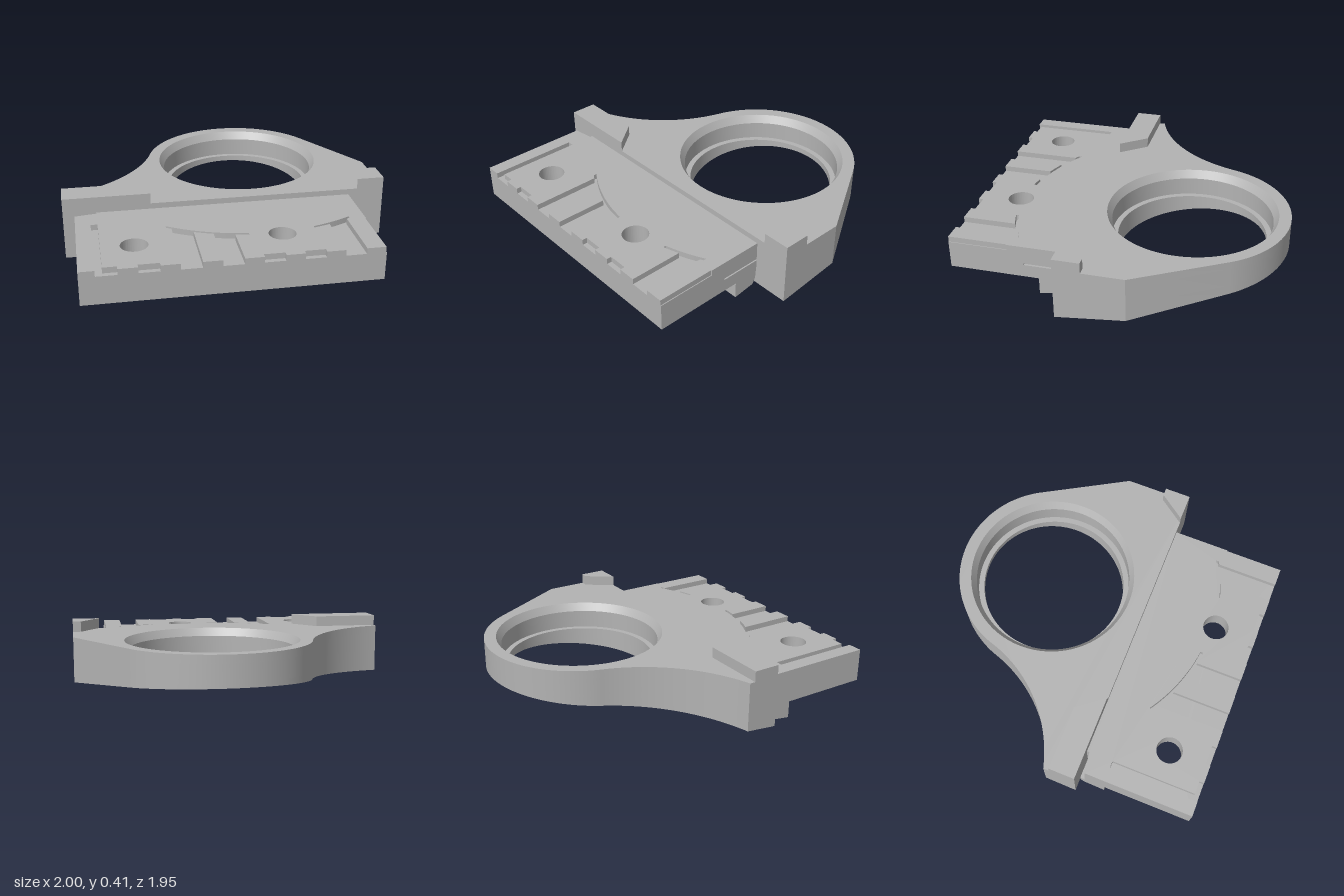
import * as THREE from 'three';
import { toCreasedNormals } from 'three/addons/utils/BufferGeometryUtils.js';

const CX = 0.18, CZ = -0.38; // ring centre in plan
const FRONT = 0.975, STEP = 0.255;

const polygon = (pts) => new THREE.Shape(pts.map(([x, z]) => new THREE.Vector2(x, z)));

function withHole(shape, x, z, r) {
  const hole = new THREE.Path();
  hole.absarc(x, z, r, 0, Math.PI * 2, true);
  shape.holes.push(hole);
  return shape;
}

// Extrudes a plan shape (x, z) between two heights; rule may move its vertices.
function slab(shape, bottom, top, rule) {
  const geo = new THREE.ExtrudeGeometry(shape, { depth: top - bottom, bevelEnabled: false, curveSegments: 72 });
  geo.rotateX(Math.PI / 2).translate(0, top, 0);
  if (rule) {
    const p = geo.attributes.position, v = new THREE.Vector3();
    for (let i = 0; i < p.count; i++) {
      rule(v.fromBufferAttribute(p, i));
      p.setXYZ(i, v.x, v.y, v.z);
    }
  }
  return toCreasedNormals(geo, 0.4);
}

// Points on a circle about the ring centre, on its front side, from x0 to x1.
function arc(r, x0, x1, n = 12) {
  return Array.from({ length: n + 1 }, (_, i) => {
    const x = x0 + (x1 - x0) * i / n;
    return [x, CZ + Math.sqrt(r * r - (x - CX) ** 2)];
  });
}

const notch = (a, b) => [[a, FRONT], [a, 0.945], [b, 0.945], [b, FRONT]];

// Plan of the rear bracket: concave flank, round head, straight tangent flank.
function bracketShape(holeRadius) {
  const s = new THREE.Shape();
  const a = Math.atan2(-0.17, -0.576), n = [Math.cos(a), Math.sin(a)];
  const tx = CX + 0.6 * n[0], tz = CZ + 0.6 * n[1];
  const vx = -1 - tx, vz = 0.055 - tz;
  const R = (vx * vx + vz * vz) / (2 * (vx * n[0] + vz * n[1]));
  const ox = tx + R * n[0], oz = tz + R * n[1];
  s.moveTo(1, STEP);
  s.lineTo(-1, STEP);
  s.lineTo(-1, 0.055);
  s.absarc(ox, oz, R, Math.atan2(0.055 - oz, -1 - ox), Math.atan2(tz - oz, tx - ox), true);
  s.absarc(CX, CZ, 0.6, a, Math.atan2(-0.3, 0.52), false);
  s.lineTo(1, -0.165);
  s.closePath();
  return withHole(s, CX, CZ, holeRadius);
}

// Plan of the front plate with its two screw holes; inset cuts the side slot.
function plateShape(holeRadius, inset = 0) {
  const s = polygon([
    [0.775 - inset, STEP], [0.775 - inset, 0.51], [0.775, 0.51], [0.775, FRONT],
    [-0.93, FRONT], [-0.93, 0.29], [-0.8, 0.27], [-0.8, STEP],
  ]);
  for (const x of [-0.61, 0.24]) withHole(s, x, 0.715, holeRadius);
  return s;
}

export function createModel() {
  const model = new THREE.Group();
  const grey = new THREE.MeshStandardMaterial({ color: 0xb3b3b3 });
  grey.name = 'plainGrey';
  const add = (name, geo) => {
    const mesh = new THREE.Mesh(geo, grey);
    mesh.name = name;
    model.add(mesh);
  };

  // Rear bracket: chamfered mouth, bore, then a narrower lip with sloping underside
  add('bracketMouth', slab(bracketShape(0.525), 0.295, 0.345, (v) => {
    const dx = v.x - CX, dz = v.z - CZ, r = Math.hypot(dx, dz);
    if (v.y < 0.3 && r < 0.53) {
      v.x = CX + dx * 0.495 / r;
      v.z = CZ + dz * 0.495 / r;
    }
  }));
  add('bracketBore', slab(bracketShape(0.495), 0.18, 0.295));
  add('bracketLip', slab(bracketShape(0.46), 0.02, 0.18, (v) => {
    if (v.y < 0.1) v.y = 0.02 + (STEP - v.z) * 0.1134;
  }));

  // Raised tabs on both ends of the step
  add('rightTab', slab(polygon([[-1, 0.09], [-0.6, 0.09], [-0.47, STEP], [-1, STEP]]), 0.345, 0.41));
  add('leftTab', slab(polygon([[0.95, 0.09], [1, 0.09], [1, STEP], [0.83, STEP]]), 0.345, 0.41));

  // Front plate: counterbored base, thin side slot, core
  add('plateBase', slab(plateShape(0.145), 0.105, 0.185));
  add('plateSlotLayer', slab(plateShape(0.08, 0.04), 0.185, 0.195));
  add('plateCore', slab(plateShape(0.08), 0.195, 0.275));

  // Grooved top surface of the plate
  const top = polygon([
    [0.775, STEP], [0.775, 0.61], [0.77, 0.61], [0.77, FRONT],
    [0.66, FRONT], ...arc(1.085, 0.66, 0.68, 2), ...arc(1.068, 0.68, 0.44),
    ...arc(1.085, 0.44, 0.54), [0.54, FRONT],
    ...notch(0.43, 0.31), ...notch(0.2, 0.08),
    [-0.03, FRONT], ...arc(1.085, -0.03, 0.05, 4), ...arc(1.068, 0.05, -0.41, 24),
    ...arc(1.085, -0.41, -0.38, 2), [-0.38, FRONT],
    ...notch(-0.49, -0.61),
    [-0.72, FRONT], [-0.72, 0.945], [-0.8, 0.945], [-0.8, 0.42], [-0.84, 0.42], [-0.84, FRONT],
    [-0.93, FRONT], [-0.93, 0.29], [-0.8, 0.27], [-0.8, STEP],
  ]);
  for (const x of [-0.61, 0.24]) withHole(top, x, 0.715, 0.08);
  add('groovedTop', slab(top, 0.275, 0.31));
  add('grooveLand', slab(polygon([[-0.15, FRONT], ...arc(1.085, -0.15, -0.26), [-0.26, FRONT]]), 0.275, 0.31));

  // Rail under the plate, profile in (z, y) run along x
  const rail = new THREE.ExtrudeGeometry(
    polygon([[0.42, 0.105], [0.42, 0], [0.28, 0.02], [0.26, 0.06], [0.26, 0.105]]),
    { depth: 1.705, bevelEnabled: false });
  rail.rotateY(-Math.PI / 2).translate(0.775, 0, 0);
  add('underRail', rail);

  return model;
}
